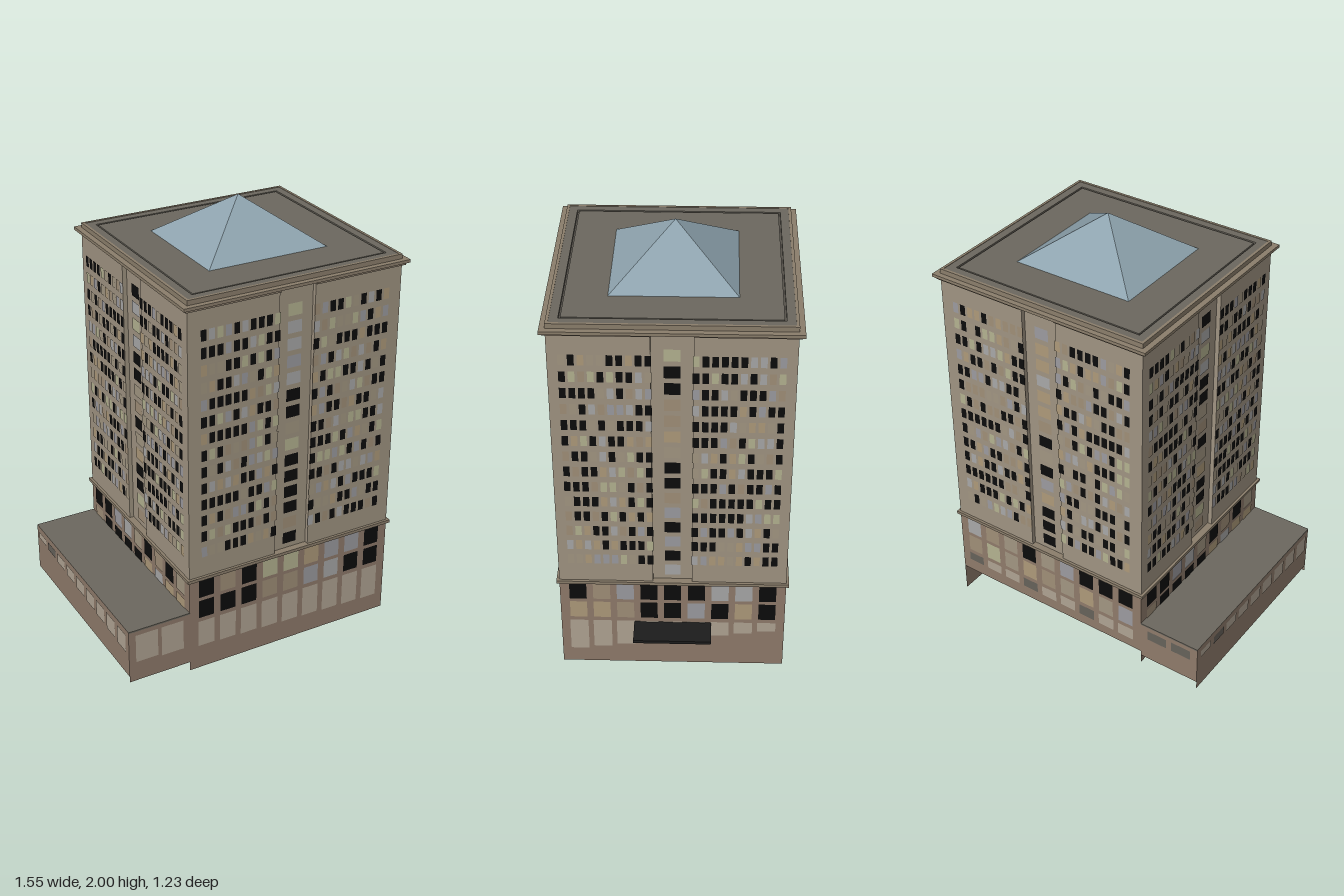
import * as THREE from 'three';
import { mergeGeometries } from 'three/addons/utils/BufferGeometryUtils.js';

const HX = 0.516, HZ = 0.5;          // half width and half depth of the tower
const BAND = 0.48, TOP = 1.8;        // top of base, top of parapet
const NOTCH = 0.086, DEEP = 0.02;    // half width and depth of the recessed strips
const ANNEX_X = -0.815, ANNEX_Y = 0.31;

const WALL = 0xa09482, BASE = 0x8f7b6b, ROOF = 0x6c685f, TRIM = 0x8c7f6c, GLASS = 0x8ea3ae;
const BLACK = 0x0c0c0c, SHOP = 0xb0a493, SHOP_DARK = 0x66625a;
const LIT = [0xb4b391, 0xa8a8a8, 0x9c9ba0, 0xae9a7a, 0xa08f78, 0xa39782];

function createRandom(seed) {
  return () => {
    seed = (seed * 16807) % 2147483647;
    return seed / 2147483647;
  };
}

export function createModel() {
  const model = new THREE.Group();
  model.name = 'towerBlock';
  const building = new THREE.Group();
  building.name = 'building';
  building.position.set(0.1125, 0, -0.013);
  building.rotation.y = 0.1625;
  model.add(building);

  const random = createRandom(4711);
  const add = (name, geometry, color) => {
    const material = new THREE.MeshStandardMaterial({ color, side: THREE.DoubleSide, flatShading: true });
    const mesh = new THREE.Mesh(geometry, material);
    mesh.name = name;
    building.add(mesh);
    return mesh;
  };
  const box = (x0, x1, y0, y1, z0, z1) =>
    new THREE.BoxGeometry(x1 - x0, y1 - y0, z1 - z0).translate((x0 + x1) / 2, (y0 + y1) / 2, (z0 + z1) / 2);
  const rectangle = (hx, hz) => [[-hx, -hz], [hx, -hz], [hx, hz], [-hx, hz]].map(p => new THREE.Vector2(...p));
  // Upright hollow prism from an outer and an inner plan
  const hollow = (outer, inner, y0, y1) => {
    const shape = new THREE.Shape(outer);
    shape.holes.push(new THREE.Path(inner));
    return new THREE.ExtrudeGeometry(shape, { depth: y1 - y0, bevelEnabled: false }).rotateX(-Math.PI / 2).translate(0, y0, 0);
  };
  const ring = (hx, hz, t, y0, y1) => hollow(rectangle(hx, hz), rectangle(hx - t, hz - t), y0, y1);

  // Sides: 0 front, 1 left (+x), 2 back, 3 right (-x); u runs to the viewer's right
  const reach = k => (k % 2 ? HX : HZ);
  const breadth = k => (k % 2 ? HZ : HX);
  const panel = (k, u, y0, y1, w, distance) =>
    new THREE.PlaneGeometry(w, y1 - y0).translate(u, (y0 + y1) / 2, distance).rotateY(k * Math.PI / 2);

  // Window panes are gathered by colour
  const panes = new Map();
  const pane = (color, geometry) => {
    if (!panes.has(color)) panes.set(color, []);
    panes.get(color).push(geometry);
  };
  const roomColor = dark => (random() < dark ? BLACK : LIT[Math.floor(random() * LIT.length)]);
  const shopColor = () => (random() < 0.14 ? SHOP_DARK : SHOP);

  // Tower shaft with a recessed strip in the middle of each side
  const plan = [];
  for (let k = 0; k < 4; k++) {
    const a = k * Math.PI / 2, b = breadth(k), d = reach(k);
    for (const [u, v] of [[-b, d], [-NOTCH, d], [-NOTCH, d - DEEP], [NOTCH, d - DEEP], [NOTCH, d]]) {
      plan.push(new THREE.Vector2(u * Math.cos(a) + v * Math.sin(a), u * Math.sin(a) - v * Math.cos(a)));
    }
  }
  add('towerShaft', hollow(plan, rectangle(HX - 0.04, HZ - 0.04), BAND, 1.768), WALL);

  // Base walls, open below, each ending at its own ground level
  const ground = [0, 0, 0.14, 0.07];
  add('baseWalls', mergeGeometries(ground.map((y, k) => panel(k, 0, y, BAND, 2 * breadth(k), reach(k)))), BASE);
  add('baseBand', ring(HX + 0.012, HZ + 0.012, 0.05, 0.47, 0.485), TRIM);

  // Cornice: a broken lower tier under a full upper tier
  const lower = [];
  for (let k = 0; k < 4; k++) {
    for (const s of [-1, 1]) {
      const end = breadth(k) + 0.012, inner = NOTCH;
      lower.push(box(Math.min(s * inner, s * end), Math.max(s * inner, s * end), 1.752, 1.766, reach(k) - 0.01, reach(k) + 0.012)
        .rotateY(k * Math.PI / 2));
    }
  }
  add('lowerCornice', mergeGeometries(lower), TRIM);
  add('upperCornice', ring(HX + 0.026, HZ + 0.024, 0.06, 1.764, 1.778), TRIM);

  // Parapet, roof deck with a shallow groove, and glass pyramid
  add('parapet', ring(HX, HZ, 0.012, 1.768, TOP), TRIM);
  add('roofEdge', ring(HX - 0.012, HZ - 0.012, 0.037, 1.77, 1.798), ROOF);
  add('roofDeck', box(-0.459, 0.459, 1.772, 1.797, -0.443, 0.443), ROOF);
  add('roofGroove', box(-0.47, 0.47, 1.77, 1.785, -0.455, 0.455), 0x55514a);
  const pyramid = new THREE.ConeGeometry(Math.SQRT1_2, 0.204, 4).rotateY(Math.PI / 4);
  add('glassPyramid', pyramid.scale(0.578, 1, 0.535).translate(0, 1.898, 0), GLASS);

  // Ground floor window sills follow the sloping street: [left end, right end]
  const sills = [[0.12, 0.085], [0.08, 0.2], [0.205, 0.19], [0.2, 0.12]];
  for (let k = 0; k < 4; k++) {
    const out = reach(k) + 0.003;
    // Flat windows on both sides of the strip
    for (let row = 0; row < 14; row++) {
      const y = 0.608 + row * 0.079;
      for (const s of [-1, 1]) {
        for (let i = 0; i < 10; i++) {
          pane(roomColor(0.45), panel(k, s * (0.096 + i * 0.0385), y - 0.025, y + 0.025, 0.027, out));
        }
      }
    }
    // Large windows in the strip
    for (let row = 0; row < 15; row++) {
      const y = 0.538 + row * 0.0794;
      pane(roomColor(0.45), panel(k, 0, y - 0.028, y + 0.028, 0.068, out - DEEP));
    }
    // Base windows
    const pitch = breadth(k) * 0.21;
    for (let i = 0; i < 9; i++) {
      const u = (i - 4) * pitch;
      for (const y of [0.315, 0.422]) pane(roomColor(0.35), panel(k, u, y - 0.045, y + 0.045, 0.076, out));
      const sill = THREE.MathUtils.lerp(...sills[k], i / 8);
      const color = k === 2 && i % 3 === 0 ? SHOP_DARK : shopColor();
      pane(color, panel(k, u, sill, 0.25, 0.082, out));
      if (k === 3) pane(color, panel(k, u, sill, 0.25, 0.082, reach(k) - 0.003));
    }
  }

  // Low annex along one side
  const annexMid = (ANNEX_X - HX) / 2, annexW = -HX - ANNEX_X;
  add('annexWalls', mergeGeometries([
    panel(0, annexMid, 0.045, ANNEX_Y, annexW, HZ),
    panel(3, 0, 0.075, ANNEX_Y, 2 * HZ, -ANNEX_X),
    panel(2, -annexMid, 0.115, ANNEX_Y, annexW, HZ),
  ]), BASE);
  add('annexRoof', box(ANNEX_X, -HX, ANNEX_Y - 0.006, ANNEX_Y + 0.001, -HZ - 0.001, HZ + 0.001), ROOF);
  for (const s of [-1, 1]) {
    const u = annexMid + s * 0.063;
    pane(SHOP, panel(0, u, 0.14 - s * 0.005, 0.285, 0.108, HZ + 0.003));
    pane(SHOP_DARK, panel(2, -u, 0.235, 0.285, 0.1, HZ + 0.003));
  }
  for (let i = 0; i < 9; i++) {
    pane(shopColor(), panel(3, (i - 4) * 0.108, 0.25 - i * 0.007, 0.285, 0.085, 0.003 - ANNEX_X));
  }

  // Entrance canopy
  add('entranceCanopy', box(HX, 0.642, 0.23, 0.245, -0.172, 0.172), 0x1c1c1c);

  let n = 0;
  for (const [color, list] of panes) add('windows' + ++n, mergeGeometries(list), color);
  return model;
}
